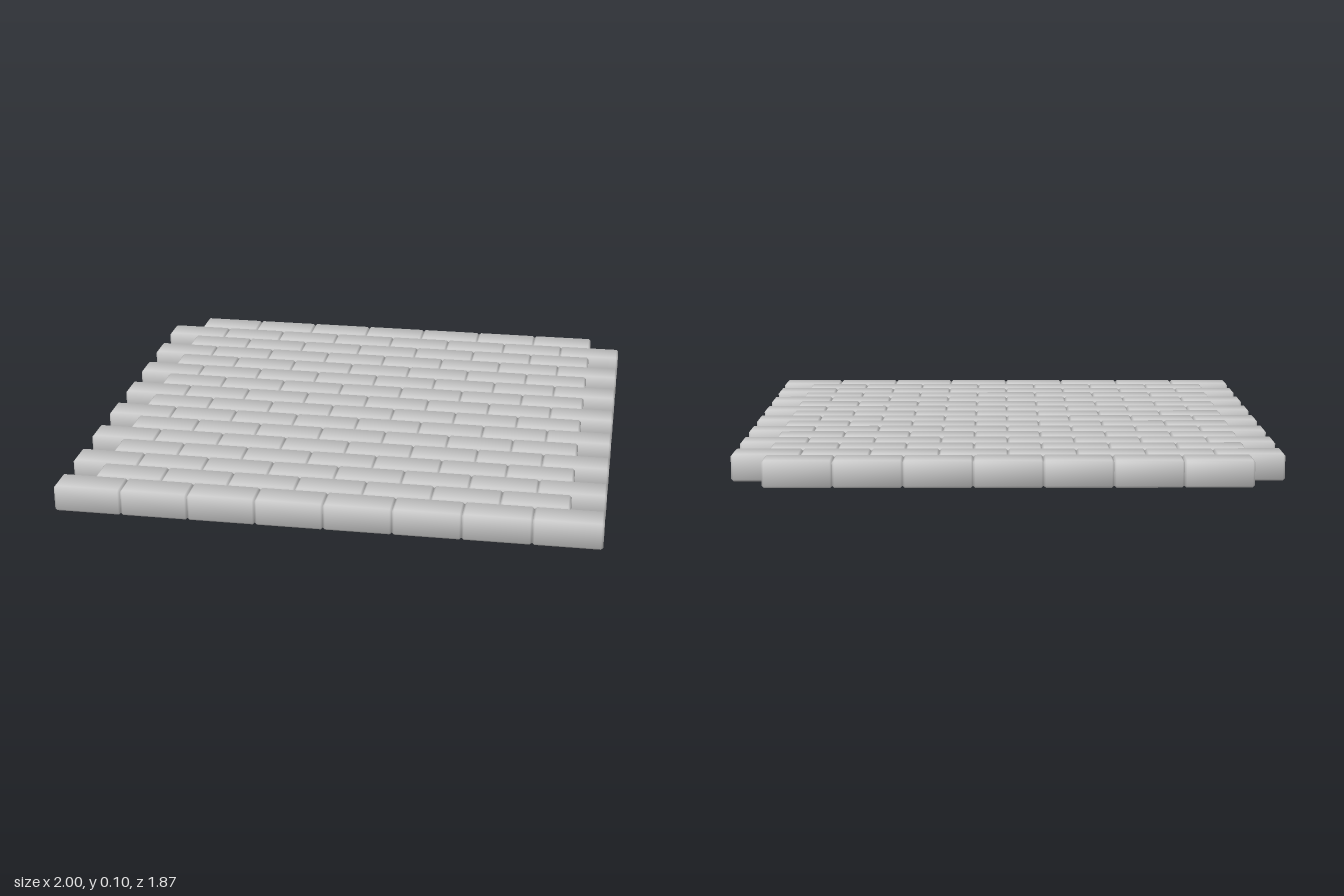
import * as THREE from 'three';
import { ConvexGeometry } from 'three/addons/geometries/ConvexGeometry.js';

const LENGTH = 0.25, HEIGHT = 0.1, DEPTH = 1.87 / 16, BEVEL = 0.008;

// Chamfered block whose normals lean softly towards the edges
function brickGeometry() {
  const half = [LENGTH / 2, HEIGHT / 2, DEPTH / 2];
  const points = [];
  for (const sx of [-1, 1]) for (const sy of [-1, 1]) for (const sz of [-1, 1]) {
    const s = [sx, sy, sz];
    for (let axis = 0; axis < 3; axis++) {
      points.push(new THREE.Vector3(...half.map((h, i) => s[i] * (i === axis ? h : h - BEVEL))));
    }
  }
  const geometry = new ConvexGeometry(points);
  const { position, normal } = geometry.attributes;
  const n = new THREE.Vector3();
  for (let v = 0; v < position.count; v++) {
    const lean = half.map((h, i) => {
      const c = position.getComponent(v, i);
      return Math.sign(c) * (Math.abs(c) > h - BEVEL / 2 ? 1 : 0.42);
    });
    n.fromArray(lean).normalize();
    normal.setXYZ(v, n.x, n.y, n.z);
  }
  return geometry;
}

export function createModel() {
  const model = new THREE.Group();
  model.name = 'brickPanel';
  const geometry = brickGeometry();
  const material = new THREE.MeshStandardMaterial({ color: 0xcccccc });

  // Running bond: long rows of eight alternate with short rows of seven
  for (let r = 0; r < 16; r++) {
    const row = new THREE.Group();
    row.name = `brickRow${r + 1}`;
    row.position.set(0, HEIGHT / 2, (7.5 - r) * DEPTH);
    const count = r % 2 ? 7 : 8;
    for (let i = 0; i < count; i++) {
      const brick = new THREE.Mesh(geometry, material);
      brick.name = 'brick';
      brick.position.x = (i - (count - 1) / 2) * LENGTH;
      row.add(brick);
    }
    model.add(row);
  }
  return model;
}
